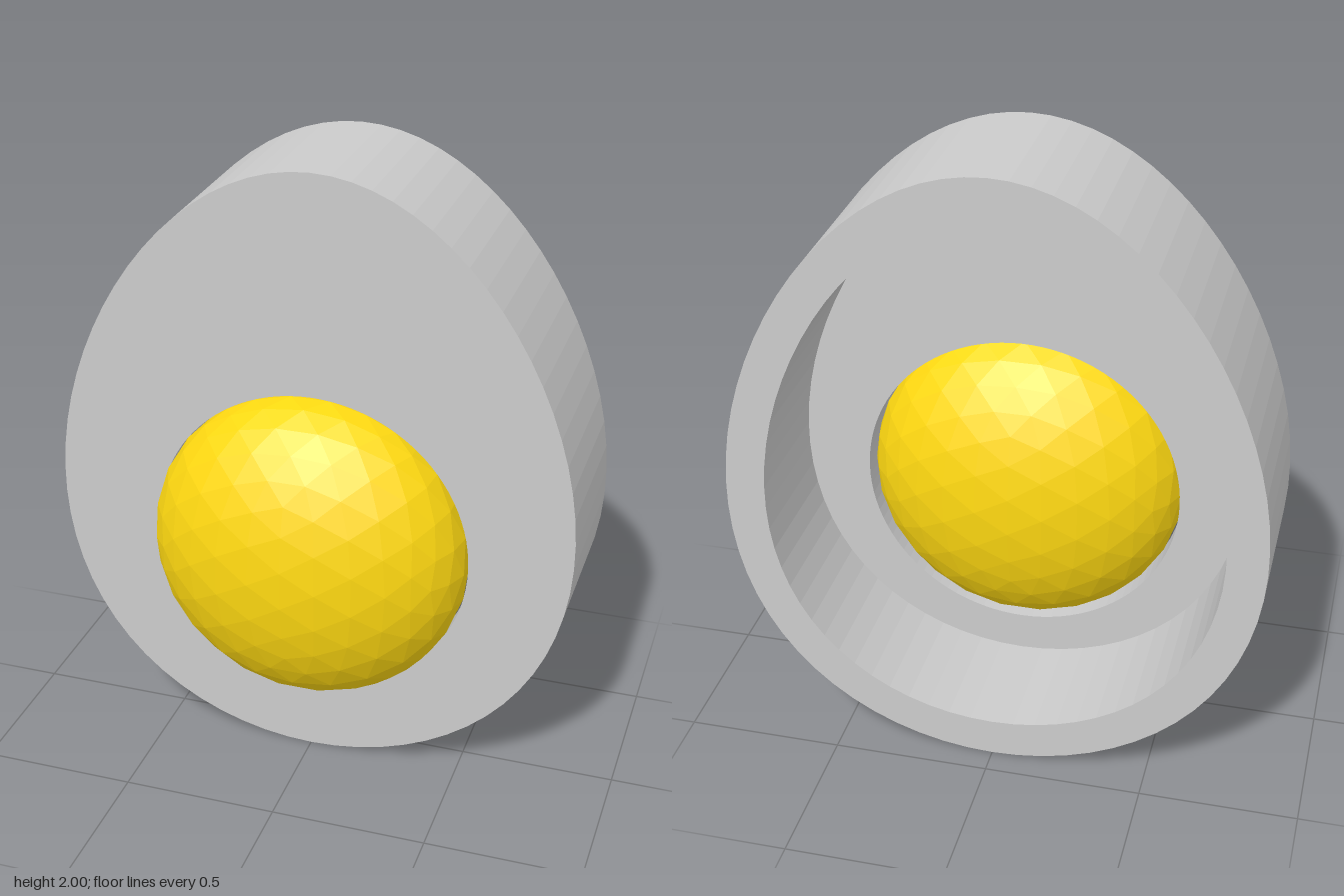
import * as THREE from 'three';

const BACK = -0.415, FRONT = 0.105, PLATE_BACK = 0;
const WALL = 0.125, YOLK_R = 0.515, YOLK_Y = 0.77;

// Egg outline, moved inwards along its normal by the given inset
function eggPoints(inset, count = 72) {
  const a = 0.837, k = 0.135;
  const points = [];
  for (let i = 0; i < count; i++) {
    const t = (i / count) * Math.PI * 2;
    const c = Math.cos(t), s = Math.sin(t);
    const x = a * c * (1 - k * s), y = 1 + s;
    const dx = a * (-s - k * (c * c - s * s)), dy = c;
    const len = Math.hypot(dx, dy);
    points.push(new THREE.Vector2(x - (inset * dy) / len, y + (inset * dx) / len));
  }
  return points;
}

// Straight extrusion of an outline with one hole, between two z positions
function slab(name, outline, hole, z0, z1, material) {
  const shape = new THREE.Shape(outline);
  shape.holes.push(hole);
  const geometry = new THREE.ExtrudeGeometry(shape, {
    depth: z1 - z0, bevelEnabled: false, curveSegments: 48,
  });
  geometry.translate(0, 0, z0);
  const mesh = new THREE.Mesh(geometry, material);
  mesh.name = name;
  return mesh;
}

export function createModel() {
  const group = new THREE.Group();
  group.name = 'halfEgg';
  const white = new THREE.MeshStandardMaterial({ color: 0xcccccc });
  const yellow = new THREE.MeshStandardMaterial({ color: 0xffd911, flatShading: true });

  // Egg-shaped rim, open at the back
  group.add(slab('eggWall', eggPoints(0), new THREE.Path(eggPoints(WALL)), BACK, FRONT, white));

  // Front plate with a round opening for the yolk
  const opening = new THREE.Path().absarc(0, YOLK_Y, YOLK_R, 0, Math.PI * 2, true);
  group.add(slab('frontPlate', eggPoints(WALL), opening, PLATE_BACK, FRONT, white));

  // Faceted, flattened yolk sitting in the opening
  const yolk = new THREE.Mesh(new THREE.IcosahedronGeometry(1, 4), yellow);
  yolk.name = 'yolk';
  yolk.scale.set(YOLK_R, YOLK_R, 0.415 - FRONT);
  yolk.position.set(0, YOLK_Y, FRONT);
  group.add(yolk);

  return group;
}
